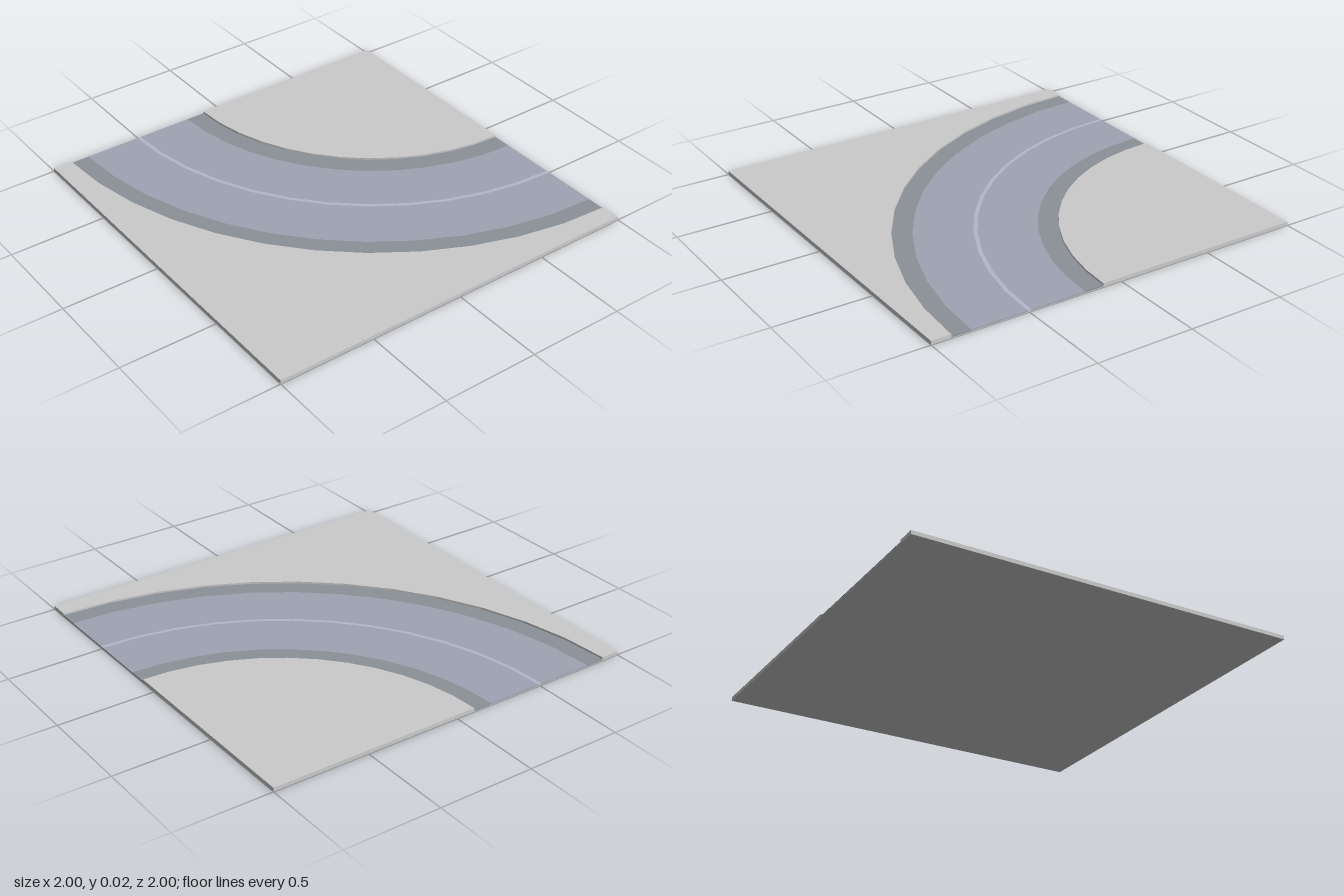
import * as THREE from 'three';

const STEPS = 12;            // facets in the quarter bend
const BASE = 0.004, ROAD = 0.01, TOP = 0.02;

// Quarter arc around the back-left corner of the tile (shape y = -z)
function arc(radius) {
  return Array.from({ length: STEPS + 1 }, (_, i) => {
    const a = Math.PI + (i / STEPS) * Math.PI / 2;
    return new THREE.Vector2(1 + radius * Math.cos(a), 1 + radius * Math.sin(a));
  });
}

function slab(name, points, bottom, top, color) {
  const geometry = new THREE.ExtrudeGeometry(new THREE.Shape(points), { depth: top - bottom, bevelEnabled: false });
  geometry.rotateX(-Math.PI / 2).translate(0, bottom, 0);
  const mesh = new THREE.Mesh(geometry, new THREE.MeshStandardMaterial({ color, flatShading: true }));
  mesh.name = name;
  return mesh;
}

// Curved strip between two radii
const strip = (name, inner, outer, color) =>
  slab(name, [...arc(outer), ...arc(inner).reverse()], BASE, ROAD, color);

export function createModel() {
  const group = new THREE.Group();
  group.name = 'roadBendTile';
  const v = (x, y) => new THREE.Vector2(x, y);
  const grey = 0xcccccc, gutter = 0x8c9098, asphalt = 0x9fa3b2, paint = 0xb4b7c8;

  // Thin foundation under the whole tile
  group.add(slab('base', [v(-1, -1), v(1, -1), v(1, 1), v(-1, 1)], 0, BASE, grey));

  // Raised ground on both sides of the bend
  group.add(slab('outerGround', [...arc(1.9), v(1, -1), v(-1, -1), v(-1, 1)], BASE, TOP, grey));
  group.add(slab('innerGround', [...arc(1.1), v(1, 1)], BASE, TOP, grey));

  // Sunken road with gutters and a centre line
  group.add(strip('outerGutter', 1.8, 1.9, gutter));
  group.add(strip('outerLane', 1.51, 1.8, asphalt));
  group.add(strip('centreLine', 1.49, 1.51, paint));
  group.add(strip('innerLane', 1.2, 1.49, asphalt));
  group.add(strip('innerGutter', 1.1, 1.2, gutter));
  return group;
}
